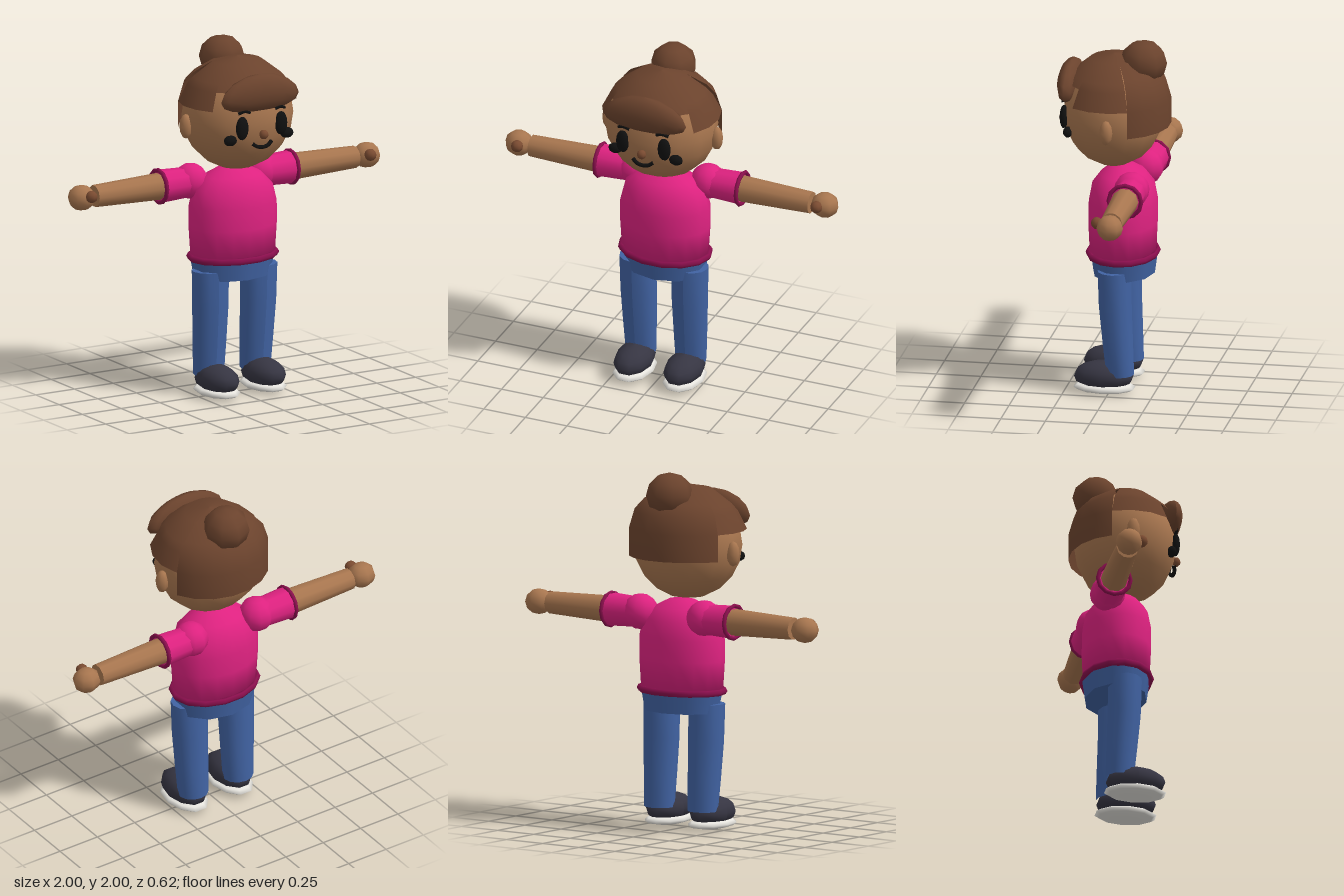
import * as THREE from 'three';

const mat = (name, color, side = THREE.FrontSide) => {
  const m = new THREE.MeshStandardMaterial({ color, side });
  m.name = name;
  return m;
};

export function createModel() {
  const skin = mat('skin', 0xa8764f);
  const darkSkin = mat('darkSkin', 0x7a4b31);
  const hair = mat('hair', 0x6b432d, THREE.DoubleSide);
  const shirt = mat('shirt', 0xde2280);
  const trim = mat('trim', 0x8a0f4d);
  const jeans = mat('jeans', 0x4163a3);
  const shoe = mat('shoe', 0x363542);
  const rubber = mat('rubber', 0xe6e4de);
  const ink = mat('ink', 0x101010);

  const model = new THREE.Group();
  model.name = 'figure';
  const add = (name, geo, material, pos = [0, 0, 0], scale = [1, 1, 1], parent = model) => {
    const mesh = new THREE.Mesh(geo, material);
    mesh.name = name;
    mesh.position.set(...pos);
    mesh.scale.set(...scale);
    parent.add(mesh);
    return mesh;
  };
  const ball = (name, material, pos, scale, w = 8, h = 6, parent = model) =>
    add(name, new THREE.SphereGeometry(1, w, h), material, pos, scale, parent);
  const lathe = (pts, segs, start = 0, length = Math.PI * 2) =>
    new THREE.LatheGeometry(pts.map(p => new THREE.Vector2(...p)), segs, start, length);
  const tube = (pts, r, segs = 8) => new THREE.TubeGeometry(
    new THREE.CatmullRomCurve3(pts.map(p => new THREE.Vector3(...p))), segs, r, 6);

  // Head
  ball('head', skin, [0, 1.59, 0], [0.32, 0.31, 0.28], 14, 10);
  ball('nose', darkSkin, [0, 1.53, 0.285], [0.027, 0.027, 0.025]);
  add('mouth', tube([[-0.062, 1.482, 0.262], [-0.035, 1.462, 0.269], [0, 1.456, 0.272],
    [0.035, 1.462, 0.269], [0.062, 1.482, 0.262]], 0.011, 12), ink);

  // Hair cap: open shell with a high front, short sides and a long back
  const crown = [[0.335, 1.67], [0.285, 1.77], [0.25, 1.81], [0.14, 1.895], [0, 1.92]];
  const back = [[0.335, 1.52], [0.335, 1.67], [0.305, 1.77], [0.25, 1.83], [0.14, 1.895], [0, 1.92]];
  const deg = Math.PI / 180;
  const cap = new THREE.Group();
  cap.name = 'hairCap';
  cap.scale.z = 0.94;
  model.add(cap);
  add('frontHair', lathe(crown.slice(1), 5, -54 * deg, 108 * deg), hair, undefined, undefined, cap);
  add('leftHair', lathe(crown, 3, 54 * deg, 60 * deg), hair, undefined, undefined, cap);
  add('rightHair', lathe(crown, 3, 246 * deg, 60 * deg), hair, undefined, undefined, cap);
  add('backHair', lathe(back, 7, 114 * deg, 132 * deg), hair, undefined, undefined, cap);
  ball('bun', hair, [0, 1.875, -0.165], [0.132, 0.125, 0.132], 8, 6);

  // Fringe: flattened roll whose ends droop
  const roll = new THREE.SphereGeometry(1, 12, 8);
  roll.scale(0.25, 0.105, 0.066);
  const p = roll.attributes.position;
  for (let i = 0; i < p.count; i++) p.setY(i, p.getY(i) - 0.5 * p.getX(i) ** 2);
  roll.computeVertexNormals();
  add('fringe', roll, hair, [0, 1.763, 0.243]);

  // Torso
  add('shirtBody', lathe([[0, 0.78], [0.25, 0.78], [0.261, 0.95], [0.26, 1.07], [0.235, 1.17],
    [0.17, 1.235], [0.08, 1.28], [0, 1.29]], 16), shirt, [0, 0, -0.05], [1, 1, 0.735]);
  const hem = new THREE.TorusGeometry(0.254, 0.02, 6, 14).rotateX(Math.PI / 2);
  add('shirtHem', hem, trim, [0, 0.777, -0.05], [1, 1, 0.75]);
  add('hips', new THREE.CylinderGeometry(0.25, 0.228, 0.12, 10), jeans, [0, 0.72, -0.055], [1, 1, 0.76]);

  for (const s of [1, -1]) {
    const side = s > 0 ? 'left' : 'right';

    // Face and ears
    ball(side + 'Ear', skin, [s * 0.325, 1.555, -0.012], [0.037, 0.07, 0.037]);
    ball(side + 'Eye', ink, [s * 0.125, 1.575, 0.26], [0.039, 0.067, 0.024], 12, 8);
    ball(side + 'Cheek', ink, [s * 0.182, 1.505, 0.228], [0.041, 0.03, 0.027], 10, 6);
    add(side + 'Brow', tube([[s * 0.08, 1.662, 0.268], [s * 0.115, 1.672, 0.268],
      [s * 0.15, 1.66, 0.258]], 0.009), ink);

    // Arm, built outward along x
    const arm = new THREE.Group();
    arm.name = side + 'Arm';
    arm.position.set(0, 1.197, -0.138);
    model.add(arm);
    const limb = (name, material, x0, r0, x1, r1) => {
      const geo = new THREE.CylinderGeometry(r1, r0, x1 - x0, 10).rotateZ(-s * Math.PI / 2);
      add(name, geo, material, [s * (x0 + x1) / 2, 0, 0], undefined, arm);
    };
    ball(side + 'Shoulder', shirt, [s * 0.22, 0.005, 0], [0.1, 0.1, 0.1], 10, 8, arm);
    limb(side + 'Sleeve', shirt, 0.2, 0.083, 0.425, 0.093);
    const cuff = new THREE.TorusGeometry(0.092, 0.012, 6, 12).rotateY(Math.PI / 2);
    add(side + 'Cuff', cuff, trim, [s * 0.425, 0, 0], undefined, arm);
    limb(side + 'Forearm', skin, 0.4, 0.076, 0.842, 0.062);
    ball(side + 'Hand', skin, [s * 0.92, 0, -0.005], [0.08, 0.072, 0.075], 8, 6, arm);
    ball(side + 'Thumb', darkSkin, [s * 0.9, 0.018, 0.07], [0.035, 0.034, 0.034], 8, 6, arm);

    // Leg: a tube of rings bending slightly back toward the ankle
    const rings = [[0.11, 0.15, -0.06, 0.088], [0.3, 0.152, -0.047, 0.096],
      [0.5, 0.154, -0.034, 0.103], [0.71, 0.156, -0.03, 0.106]];
    const leg = lathe(rings.map(r => [r[3], r[0]]), 12);
    const lp = leg.attributes.position;
    for (let i = 0; i < lp.count; i++) {
      const [, cx, cz] = rings[i % rings.length];
      lp.setXYZ(i, lp.getX(i) + s * cx, lp.getY(i), lp.getZ(i) * 0.9 + cz);
    }
    leg.computeVertexNormals();
    add(side + 'Leg', leg, jeans);
    add(side + 'LegTop', new THREE.CircleGeometry(0.106, 12).rotateX(-Math.PI / 2), jeans,
      [s * 0.156, 0.71, -0.03], [1, 1, 0.9]);

    // Shoe: upper rises in front of the ankle, on a flat sole
    const upper = new THREE.SphereGeometry(1, 10, 8);
    upper.scale(0.105, 0.085, 0.17);
    const up = upper.attributes.position;
    for (let i = 0; i < up.count; i++) up.setY(i, Math.max(up.getY(i), -0.05));
    upper.computeVertexNormals();
    add(side + 'ShoeUpper', upper, shoe, [s * 0.15, 0.096, 0.031]);
    ball(side + 'ShoeSole', rubber, [s * 0.15, 0.032, 0.028], [0.111, 0.03, 0.177], 10, 6);
  }
  return model;
}
